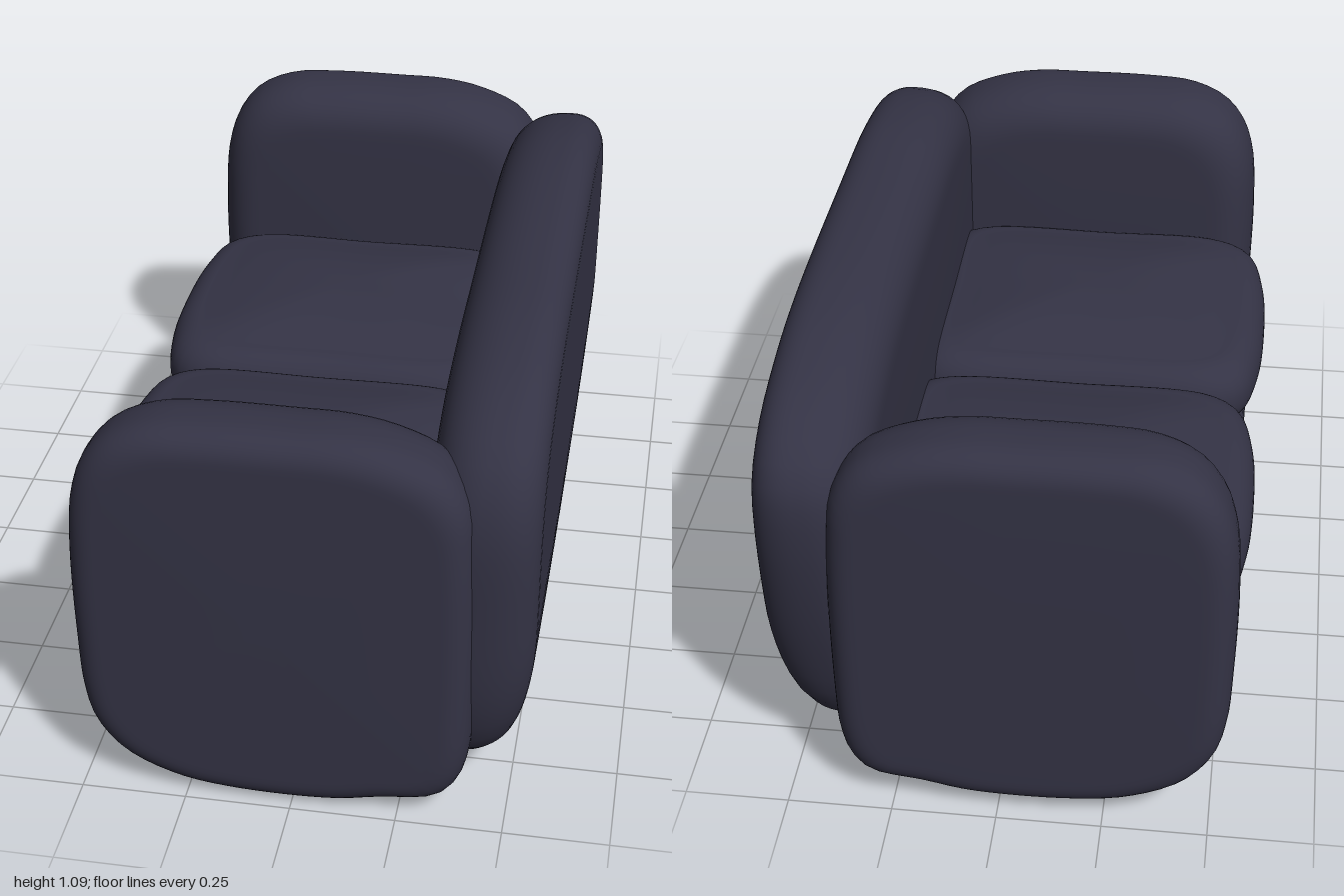
import * as THREE from 'three';
import { mergeVertices } from 'three/addons/utils/BufferGeometryUtils.js';

const material = new THREE.MeshStandardMaterial({ color: 0x343345 });
const axis = (x, y, z) => new THREE.Vector3(x, y, z);
const X = axis(1, 0, 0), Y = axis(0, 1, 0), Z = axis(0, 0, 1);
const basis = (a, b, c) => new THREE.Matrix4().makeBasis(a, b, c);

// Padded slab: a closed outline in (a, b), swept from depth lo to hi(b) with a
// soft rim that is widest at mid(b), and slightly domed faces.
// inset holds the rim rounding on the lo and hi sides.
function pillow(name, outline, { lo, hi, mid, inset, dome, power, matrix }) {
  const curve = new THREE.CatmullRomCurve3(outline.map(([a, b]) => axis(a, b, 0)), true, 'centripetal');
  const pts = curve.getSpacedPoints(96).slice(0, 96);
  if (THREE.ShapeUtils.area(pts) < 0) pts.reverse();
  const box = new THREE.Box3().setFromPoints(pts);
  const c = box.getCenter(axis(0, 0, 0)), size = box.getSize(axis(0, 0, 0));

  // Rings: [inset amount, scale to centre, height from -1 to 1]
  const rings = [];
  const capSteps = 8, rimSteps = 24;
  const cap = (t, side) => [1, t, side * (1 - dome * t * t)];
  for (let i = 0; i < capSteps; i++) rings.push(cap(i / capSteps, -1));
  for (let i = 0; i <= rimSteps; i++) {
    const a = (i / rimSteps - 0.5) * Math.PI;
    const s = Math.sign(a) * Math.abs(Math.sin(a)) ** power;
    rings.push([1 - Math.abs(Math.cos(a)) ** power, 1, s * (1 - dome)]);
  }
  for (let i = capSteps - 1; i >= 0; i--) rings.push(cap(i / capSteps, 1));

  const position = [], index = [], n = pts.length;
  rings.forEach(([k, t, h], r) => {
    const d = 2 * k * inset[h > 0 ? 1 : 0];
    const sa = t * (1 - d / size.x), sb = t * (1 - d / size.y);
    pts.forEach((p, j) => {
      const b = c.y + (p.y - c.y) * sb;
      const m = mid(c.y + (p.y - c.y) * t);
      position.push(c.x + (p.x - c.x) * sa, b, m + (h > 0 ? hi(b) - m : m - lo) * h);
      if (r === 0) return;
      const j2 = (j + 1) % n, q = (r - 1) * n, s = r * n;
      index.push(q + j, q + j2, s + j2, q + j, s + j2, s + j);
    });
  });
  // Keep faces outward when the axes are mirrored
  if (matrix.determinant() < 0) index.reverse();

  let geometry = new THREE.BufferGeometry();
  geometry.setAttribute('position', new THREE.Float32BufferAttribute(position, 3));
  geometry.setIndex(index);
  geometry.applyMatrix4(matrix);
  geometry = mergeVertices(geometry, 1e-5);
  geometry.computeVertexNormals();
  const mesh = new THREE.Mesh(geometry, material);
  mesh.name = name;
  return mesh;
}

export function createModel() {
  const group = new THREE.Group();
  group.name = 'sofa';

  // Arms: outline in (x, y), padded along z
  const arm = [
    [-0.505, 0.4], [-0.507, 0.65], [-0.495, 0.8], [-0.465, 0.89], [-0.41, 0.955], [-0.32, 0.995], [-0.2, 1.006],
    [0, 1.007], [0.12, 1.005], [0.23, 0.985], [0.34, 0.935], [0.395, 0.86], [0.413, 0.75], [0.417, 0.3],
    [0.408, 0.16], [0.385, 0.09], [0.345, 0.05], [0.22, 0.028], [0.1, 0.006], [-0.15, 0.006],
    [-0.29, 0.03], [-0.41, 0.09], [-0.475, 0.175], [-0.498, 0.27],
  ];
  for (const side of [1, -1]) {
    const matrix = basis(X, Y, axis(0, 0, side));
    if (side < 0) matrix.setPosition(-0.033, 0.034, 0);
    group.add(pillow(side > 0 ? 'leftArm' : 'rightArm', arm,
      { lo: 0.74, hi: () => 1, mid: () => 0.905, inset: [0.13, 0.08], dome: 0.04, power: 0.8, matrix }));
  }

  // Backrest: outline in (z, y), padded along x, leaning outward at the top
  const back = [
    [-0.4, 1.085], [0.2, 1.08], [0.5, 1.068], [0.75, 1.02], [0.89, 0.94], [0.948, 0.82], [0.957, 0.55],
    [0.935, 0.28], [0.88, 0.14], [0.78, 0.07], [0.6, 0.045], [0, 0.04], [-0.5, 0.055], [-0.75, 0.08],
    [-0.85, 0.17], [-0.92, 0.4], [-0.965, 0.78], [-0.945, 0.91], [-0.84, 1.0], [-0.63, 1.06],
  ];
  group.add(pillow('backrest', back, {
    lo: 0.29, hi: y => 0.555 - 0.07 * Math.max(0, (0.5 - y) / 0.4) ** 2, mid: y => 0.42 + 0.09 * (y - 0.56),
    inset: [0.15, 0.09], dome: 0.03, power: 0.85, matrix: basis(Z, Y, X),
  }));

  // Base: outline in (x, y), rounded under the front, running between the arms along z
  const base = [
    [-0.52, 0.38], [-0.512, 0.27], [-0.48, 0.17], [-0.41, 0.09], [-0.3, 0.045], [-0.1, 0.033], [0.25, 0.033],
    [0.34, 0.06], [0.37, 0.15], [0.37, 0.38], [0.33, 0.45], [0, 0.47], [-0.42, 0.46], [-0.5, 0.435],
  ];
  group.add(pillow('base', base,
    { lo: -0.8, hi: () => 0.8, mid: () => 0, inset: [0.1, 0.1], dome: 0.03, power: 0.35, matrix: basis(X, Y, Z) }));

  // Seat cushions: outline in (x, z), crowned along y
  const cushion = [
    [-0.56, 0.38], [-0.55, 0.19], [-0.515, 0.06], [-0.44, 0.008], [-0.1, -0.002], [0.27, 0.006],
    [0.34, 0.05], [0.35, 0.38], [0.34, 0.72], [0.27, 0.768], [-0.1, 0.775], [-0.43, 0.77], [-0.515, 0.715], [-0.55, 0.58],
  ];
  for (const side of [1, -1]) {
    group.add(pillow(side > 0 ? 'leftCushion' : 'rightCushion', cushion, {
      lo: 0.38, hi: () => 0.66, mid: () => 0.515,
      inset: [0.09, 0.09], dome: 0.3, power: 0.9, matrix: basis(X, axis(0, 0, side), Y),
    }));
  }
  return group;
}
